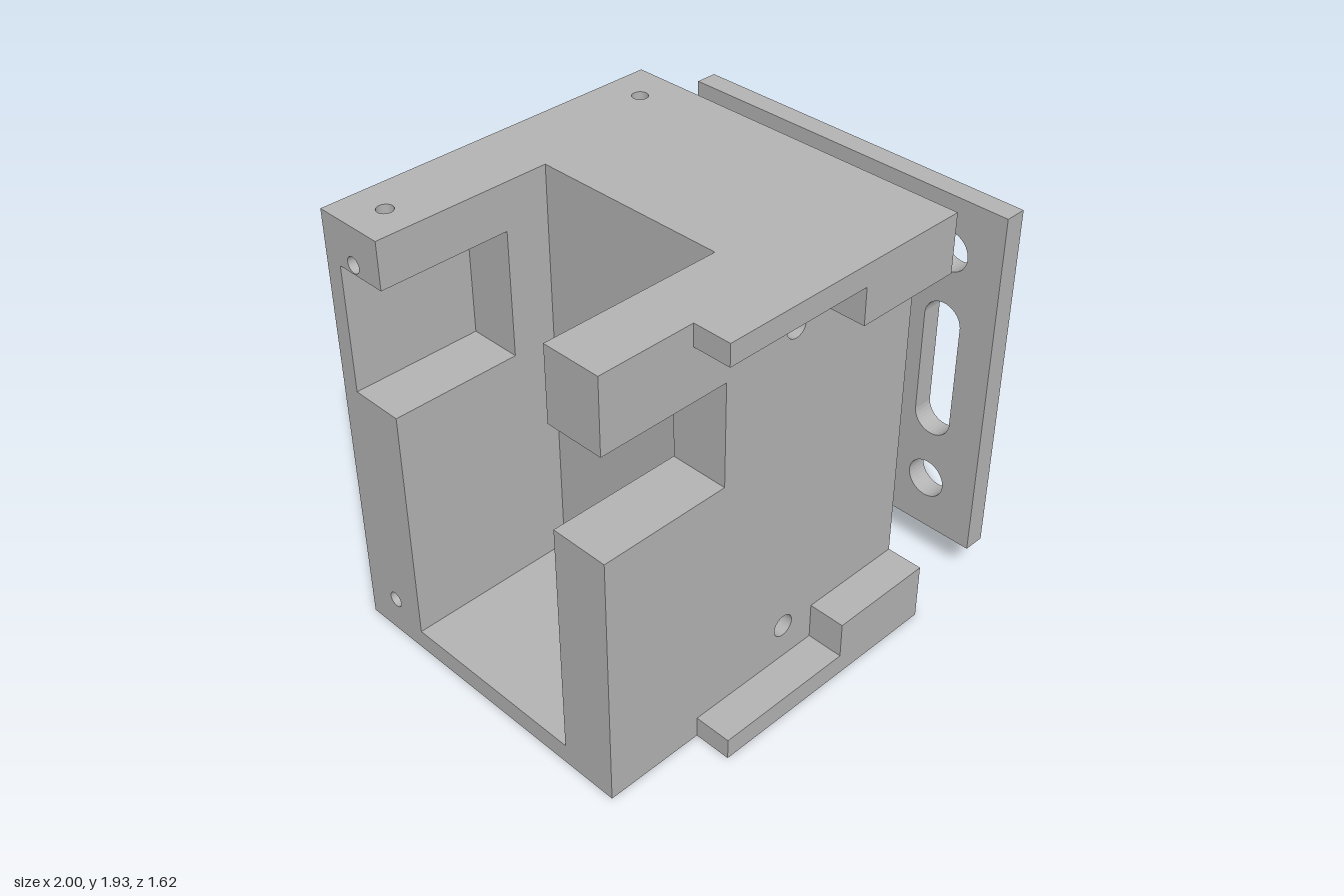
import * as THREE from 'three';

const H = 1.934, MID = H / 2;

export function createModel() {
  const model = new THREE.Group();
  const grey = new THREE.MeshStandardMaterial({ color: 0xb4b4b4 });
  grey.name = 'plain grey';

  const add = (name, geometry) => {
    const mesh = new THREE.Mesh(geometry, grey);
    mesh.name = name;
    model.add(mesh);
    return mesh;
  };
  const poly = (pts) => new THREE.Shape(pts.map(([a, b]) => new THREE.Vector2(a, b)));
  const rect = (a0, b0, a1, b1) => poly([[a0, b0], [a1, b0], [a1, b1], [a0, b1]]);
  const drill = (shape, x, y, r) => {
    shape.holes.push(new THREE.Path().absarc(x, y, r, 0, Math.PI * 2, true));
  };
  // round-ended slot of half lengths a, b
  const slot = (shape, x, y, a, b) => {
    const r = Math.min(a, b), dx = a - r, dy = b - r, p = new THREE.Path();
    const pts = [];
    for (let i = 0; i < 32; i++) {
      const t = ((i + 0.5) / 32) * Math.PI * 2, c = Math.cos(t), s = Math.sin(t);
      pts.push(new THREE.Vector2(x + Math.sign(c) * dx + c * r, y + Math.sign(s) * dy + s * r));
    }
    shape.holes.push(p.setFromPoints(pts));
  };
  const extrude = (shape, depth) =>
    new THREE.ExtrudeGeometry(shape, { depth, bevelEnabled: false, curveSegments: 16 });
  // shapes drawn in (x, y), (x, -z) and (-z, y)
  const alongZ = (name, shape, z0, z1) => add(name, extrude(shape, z1 - z0).translate(0, 0, z0));
  const alongY = (name, shape, y0, y1) =>
    add(name, extrude(shape, y1 - y0).rotateX(-Math.PI / 2).translate(0, y0, 0));
  const alongX = (name, shape, x0, x1) =>
    add(name, extrude(shape, x1 - x0).rotateY(Math.PI / 2).translate(x0, 0, 0));

  // Right-hand edge: curved lip, opening and cross slot, mirrored about mid height
  const lower = [[0.58, 0.325]];
  for (let i = 1; i <= 5; i++) {
    const x = 0.58 + 0.03 * (i / 5) ** 2;
    lower.push([x, 0.325 + Math.sqrt(0.32 ** 2 - (0.9 - x) ** 2)]);
  }
  lower.push([0.61, 0.55], [0.354, 0.55], [0.354, 0.325], [0.264, 0.325], [0.264, 0.55], [-0.06, 0.55]);
  const edge = [...lower, ...lower.map(([x, y]) => [x, H - y]).reverse()];

  // Back wall core, the inner layer recessed beside the cavity
  const coreRight = [[-0.9, 0.09], [0.48, 0.09], [0.48, 0.325], ...edge,
    [0.48, H - 0.325], [0.48, H - 0.09], [-0.9, H - 0.09]];
  alongZ('backWallOuter', poly(coreRight), -0.81, -0.73);
  alongZ('backWallInner', poly([...coreRight, [-0.9, 1.73], [-0.42, 1.73], [-0.42, 1.17], [-0.9, 1.17]]),
    -0.73, -0.49);

  // Drilled caps and side strips of the back wall
  for (const [name, y] of [['backBottomCap', 0], ['backTopCap', H - 0.09]]) {
    const cap = rect(-1, 0.49, 0.58, 0.81);
    drill(cap, -0.84, 0.645, 0.034);
    drill(cap, 0.415, 0.645, 0.034);
    alongY(name, cap, y, y + 0.09);
  }
  const post = poly([[0.49, 0.09], [0.81, 0.09], [0.81, H - 0.09], [0.49, H - 0.09],
    [0.49, 1.73], [0.73, 1.73], [0.73, 1.17], [0.49, 1.17]]);
  drill(post, 0.645, 0.165, 0.034);
  drill(post, 0.645, H - 0.165, 0.034);
  alongX('backPost', post, -1, -0.9);
  for (const [name, y0, y1, hy] of [['lowerBackStrip', 0.09, 0.325, 0.165],
    ['upperBackStrip', H - 0.325, H - 0.09, H - 0.165]]) {
    const strip = rect(0.49, y0, 0.81, y1);
    drill(strip, 0.645, hy, 0.034);
    alongX(name, strip, 0.48, 0.58);
  }

  // Middle of the housing: floor of the open cavity and the solid web
  alongZ('slottedMiddle', poly([[-1, 0], [0.58, 0], ...edge, [0.58, H], [-0.22, H], [-0.22, 0.09], [-1, 0.09]]),
    -0.49, 0);
  alongZ('solidMiddle', poly([[-1, 0], [0.58, 0], [0.58, H], [-0.22, H], [-0.22, 0.09], [-1, 0.09]]),
    0, 0.385);

  // Front wall with side notch and two bores
  const front = poly([[-1, 0], [0.58, 0], [0.58, H], [-1, H], [-1, 1.615], [-0.42, 1.615], [-0.42, 1.16], [-1, 1.16]]);
  drill(front, -0.07, 1.68, 0.05);
  drill(front, -0.07, 0.26, 0.05);
  alongZ('frontWall', front, 0.385, 0.64);

  // Stepped front ledges
  alongZ('topLedge', poly([[-0.58, H], [-0.58, 1.84], [0.095, 1.84], [0.095, 1.68], [0.58, 1.68], [0.58, H]]), 0.64, 0.805);
  alongZ('bottomLedge', poly([[-0.55, 0], [0.58, 0], [0.58, 0.26], [0.095, 0.26], [0.095, 0.095], [-0.55, 0.095]]), 0.64, 0.805);

  // Neck flaring towards the housing, mitred at its corners
  const pos = [], index = [], N = 16;
  const corners = [[1, 0], [1, 1], [-1, 1], [-1, 0]];
  for (let s = 0; s < 4; s++) {
    const base = pos.length / 3;
    for (let i = 0; i <= N; i++) {
      const t = (i / N) * Math.PI / 2;
      const x = 0.905 - 0.325 * Math.cos(t), h = 0.642 - 0.32 * Math.sin(t);
      for (const [y, z] of [corners[s], corners[(s + 1) % 4]]) pos.push(x, MID + y * h, z * h);
      if (i < N) {
        const a = base + i * 2;
        index.push(a, a + 1, a + 2, a + 1, a + 3, a + 2);
      }
    }
  }
  const flare = new THREE.BufferGeometry();
  flare.setAttribute('position', new THREE.Float32BufferAttribute(pos, 3));
  flare.setIndex(index);
  flare.computeVertexNormals();
  add('flaredNeck', flare);

  // Rear half of the neck, reaching into the opening with a rounded corner
  const block = new THREE.Shape();
  block.moveTo(0.905, 0);
  block.lineTo(0.905, 0.325);
  block.lineTo(0.38, 0.325);
  block.absarc(0.38, 0.225, 0.1, Math.PI / 2, Math.PI, false);
  block.lineTo(0.28, 0);
  alongY('neckBlock', block, MID - 0.322, MID + 0.322);

  // Mounting plate with round holes and slots
  const plate = rect(-0.805, 0.163, 0.805, H - 0.163);
  for (const s of [-1, 1]) {
    for (const t of [-1, 1]) drill(plate, s * 0.558, MID + t * 0.56, 0.088);
    slot(plate, s * 0.558, MID, 0.088, 0.322);
    slot(plate, 0, MID + s * 0.56, 0.322, 0.088);
  }
  alongX('mountingPlate', plate, 0.905, 1);

  return model;
}
